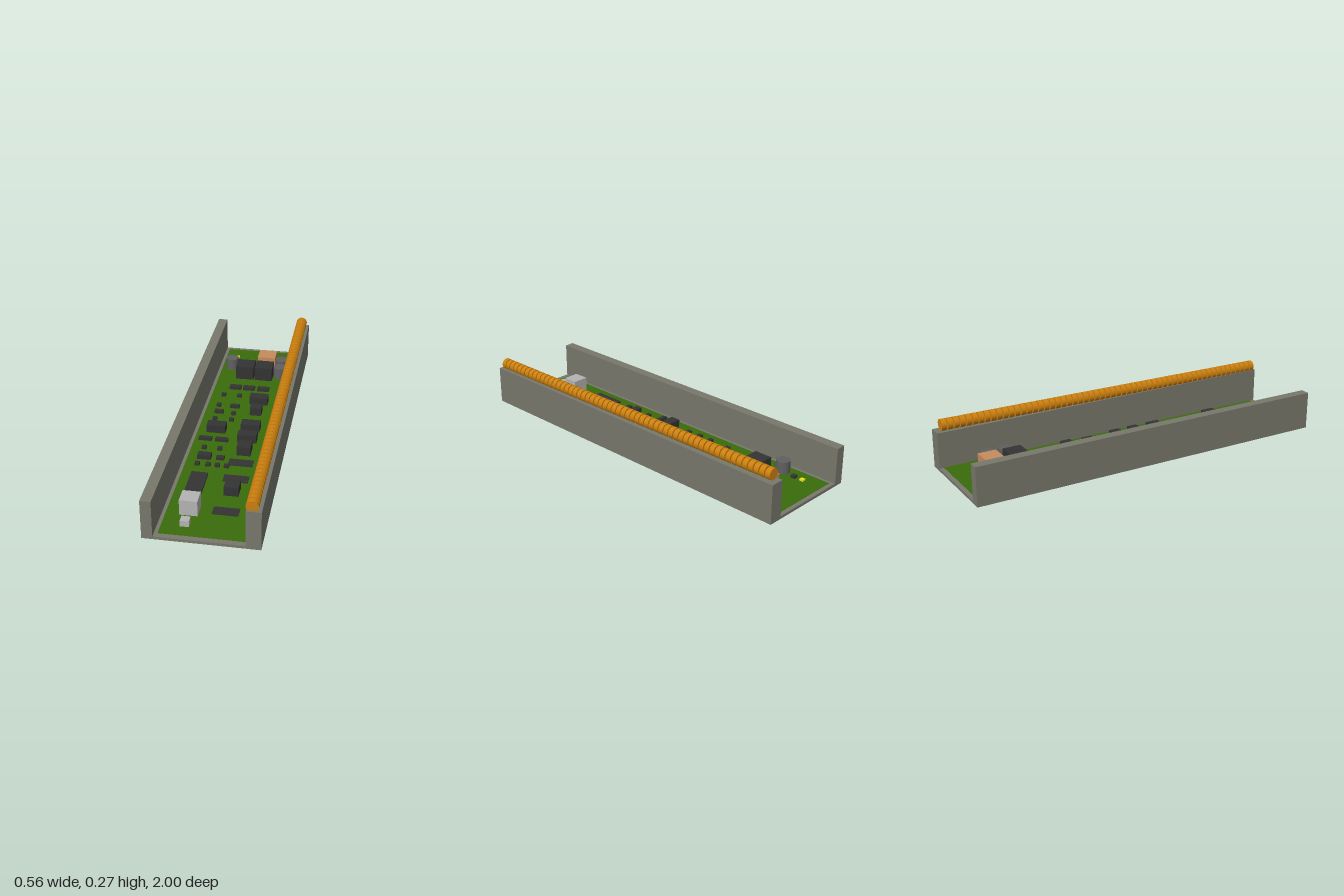
import * as THREE from 'three';

const mat = (color) => new THREE.MeshStandardMaterial({ color });
const FLOOR = 0.015;
const BOARD = 0.0165;

export function createModel() {
  const root = new THREE.Group();
  const grey = mat(0x77776c), green = mat(0x3a6b0c), dark = mat(0x333333);
  const orange = mat(0xcc800f), canGrey = mat(0x606060), copper = mat(0xc48c5c);
  const light = mat(0xb4b4b4), yellow = mat(0xe6e01a);

  // box given by its x, y and z ranges
  const box = (parent, name, m, x0, x1, y0, y1, z0, z1) => {
    const mesh = new THREE.Mesh(new THREE.BoxGeometry(x1 - x0, y1 - y0, z1 - z0), m);
    mesh.position.set((x0 + x1) / 2, (y0 + y1) / 2, (z0 + z1) / 2);
    mesh.name = name;
    parent.add(mesh);
  };
  // component standing on the board: centre x, z, width, depth, top height
  const part = (parent, name, m, x, z, w, d, top) =>
    box(parent, name, m, x - w / 2, x + w / 2, FLOOR, top, z - d / 2, z + d / 2);

  // channel: one extruded U section with a thin and a thick wall
  const section = new THREE.Shape([
    [-0.28, 0], [0.28, 0], [0.28, 0.207], [0.207, 0.207], [0.207, FLOOR],
    [-0.227, FLOOR], [-0.227, 0.207], [-0.28, 0.207],
  ].map(([x, y]) => new THREE.Vector2(x, y)));
  const channelGeo = new THREE.ExtrudeGeometry(section, { depth: 2, bevelEnabled: false });
  channelGeo.translate(0, 0, -1);
  const channel = new THREE.Mesh(channelGeo, grey);
  channel.name = 'channel';
  root.add(channel);

  box(root, 'circuitBoard', green, -0.209, 0.206, 0.01, BOARD, -0.976, 0.971);

  // row of discs along the thick wall, rising slightly to the back
  const discs = new THREE.Group();
  discs.name = 'discRow';
  root.add(discs);
  const COUNT = 58, discGeo = new THREE.CylinderGeometry(0.0305, 0.0305, 0.027, 32);
  discGeo.rotateX(Math.PI / 2);
  for (let i = 0; i < COUNT; i++) {
    const t = i / (COUNT - 1);
    const disc = new THREE.Mesh(discGeo, orange);
    disc.position.set(0.235 + 0.003 * t, 0.2265 + 0.011 * t, 0.976 - 1.933 * t);
    disc.name = 'disc';
    discs.add(disc);
  }

  const parts = new THREE.Group();
  parts.name = 'components';
  root.add(parts);

  // power end: capacitors, inductors, copper block, indicator
  for (const [x, z] of [[-0.15, -0.735], [0.147, -0.757], [0.147, -0.659]]) {
    const can = new THREE.Mesh(new THREE.CylinderGeometry(0.037, 0.037, 0.082 - FLOOR, 32), canGrey);
    can.position.set(x, (0.082 + FLOOR) / 2, z);
    can.name = 'capacitor';
    parts.add(can);
  }
  for (const x of [-0.054, 0.056]) part(parts, 'inductor', dark, x, -0.643, 0.103, 0.1, 0.096);
  part(parts, 'copperBlock', copper, 0.056, -0.78, 0.103, 0.1, 0.099);
  part(parts, 'indicator', yellow, -0.14, -0.865, 0.023, 0.023, 0.025);

  // front end: light connectors
  part(parts, 'largeConnector', light, -0.097, 0.77, 0.089, 0.087, 0.099);
  part(parts, 'smallConnector', light, -0.097, 0.883, 0.044, 0.042, 0.048);

  // tall chips: x, z, width, depth
  for (const [x, z, w, d] of [
    [0.072, -0.325, 0.102, 0.058], [0.074, -0.204, 0.063, 0.058], [0.072, -0.024, 0.102, 0.058],
    [0.072, 0.09, 0.102, 0.056], [0.075, 0.212, 0.073, 0.073], [0.075, 0.585, 0.073, 0.073],
    [-0.108, 0.016, 0.102, 0.056],
  ]) part(parts, 'tallChip', dark, x, z, w, d, w === 0.073 ? 0.066 : 0.061);

  // flat chips on the right and the long one on the left
  for (const z of [0.32, 0.47, 0.754]) part(parts, 'flatChip', dark, 0.074, z, 0.128, 0.06, 0.02);
  part(parts, 'longChip', dark, -0.114, 0.537, 0.086, 0.172, 0.028);

  // row of three flat chips
  for (const x of [-0.087, -0.008, 0.075]) part(parts, 'rowChip', dark, x, -0.475, 0.067, 0.037, 0.031);

  // medium parts: x, z, width, depth
  for (const [x, z, w, d] of [
    [-0.053, -0.25, 0.052, 0.026], [-0.13, -0.178, 0.05, 0.026], [-0.15, 0.118, 0.07, 0.026],
    [-0.062, 0.118, 0.07, 0.026], [-0.12, 0.298, 0.07, 0.038], [-0.037, 0.298, 0.042, 0.026],
  ]) part(parts, 'mediumPart', dark, x, z, w, d, d > 0.03 ? 0.042 : 0.032);

  // tiny square parts: x, z
  for (const [x, z] of [
    [-0.137, -0.815], [-0.14, -0.376], [-0.048, -0.376], [-0.146, -0.252], [-0.048, -0.17],
    [-0.14, -0.1], [-0.048, -0.1], [-0.14, 0.207], [-0.056, 0.207],
    [-0.145, 0.367], [-0.088, 0.367], [-0.04, 0.367], [0.008, 0.367],
  ]) part(parts, 'tinyPart', dark, x, z, 0.025, 0.025, 0.03);

  return root;
}
